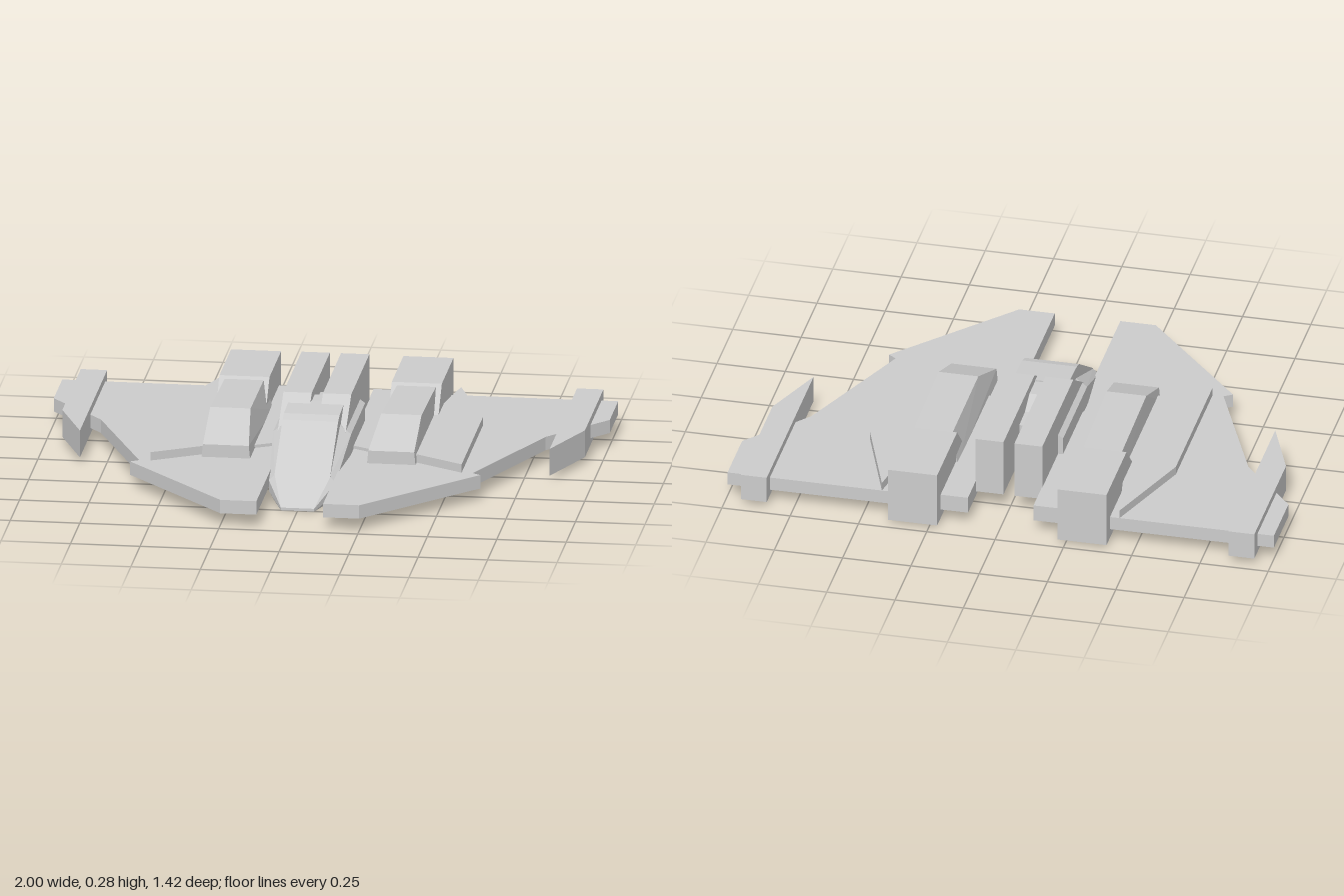
import * as THREE from 'three';
import { ConvexGeometry } from 'three/addons/geometries/ConvexGeometry.js';

const material = new THREE.MeshStandardMaterial({ color: 0xcccccc, flatShading: true });

export function createModel() {
  const model = new THREE.Group();

  function add(name, geometry) {
    const mesh = new THREE.Mesh(geometry, material);
    mesh.name = name;
    model.add(mesh);
  }

  // Flat plate: outline in [x, z], from height y0 to y1
  function plate(name, outline, y0, y1, side) {
    const shape = new THREE.Shape(outline.map(([x, z]) => new THREE.Vector2(x * side, -z)));
    const geometry = new THREE.ExtrudeGeometry(shape, { depth: y1 - y0, bevelEnabled: false });
    geometry.rotateX(-Math.PI / 2).translate(0, y0, 0);
    add(name, geometry);
  }

  // Side profile in [z, y], stretched between x0 and x1
  function slab(name, profile, x0, x1) {
    const shape = new THREE.Shape(profile.map(([z, y]) => new THREE.Vector2(-z, y)));
    const geometry = new THREE.ExtrudeGeometry(shape, { depth: Math.abs(x1 - x0), bevelEnabled: false });
    geometry.rotateY(Math.PI / 2).translate(Math.min(x0, x1), 0, 0);
    add(name, geometry);
  }

  // Faceted convex solid from corner points
  function solid(name, points, side = 1) {
    add(name, new ConvexGeometry(points.map(([x, y, z]) => new THREE.Vector3(x * side, y, z))));
  }

  // Hull with nose: half sections mirrored about the centre
  const hullHalf = [
    [0.06, 0, 0.5], [0.06, 0.01, 0.5],
    [0.10, 0, 0.38], [0.12, 0.03, 0.37], [0.12, 0.07, 0.37], [0.10, 0.09, 0.365],
    [0.11, 0.03, 0.15], [0.14, 0.06, 0.12], [0.14, 0.17, 0.1], [0.10, 0.2, 0.1],
    [0.11, 0.03, -0.28], [0.14, 0.06, -0.28], [0.14, 0.17, -0.28], [0.10, 0.2, -0.28],
  ];
  solid('hull', hullHalf.flatMap(([x, y, z]) => [[x, y, z], [-x, y, z]]));

  // Canopy and the stepped spine behind it
  slab('canopy', [[0.37, 0.09], [0.15, 0.23], [0.11, 0.242], [-0.03, 0.25], [-0.03, 0.09]], -0.1, 0.1);
  slab('spine', [[0, 0.1], [0, 0.245], [-0.12, 0.245], [-0.19, 0.21], [-0.28, 0.205], [-0.28, 0.1]], -0.022, 0.022);

  for (const side of [1, -1]) {
    // Main wing with forward-pointing blade
    plate('wing', [
      [0.12, 0.71], [0.25, 0.71], [0.63, 0.29], [0.6, 0.27], [0.8, -0.2],
      [0.85, -0.26], [0.85, -0.66], [0.12, -0.66],
    ], 0.045, 0.095, side);
    plate('wingRoot', [[0.12, 0.02], [0.24, 0.085], [0.24, -0.66], [0.12, -0.66]], 0.09, 0.106, side);
    plate('wingArmour', [
      [0.22, 0.075], [0.56, 0.27], [0.56, -0.31], [0.435, -0.66], [0.39, -0.4], [0.22, -0.4],
    ], 0.09, 0.126, side);

    // Wing tip pod and its outer fin
    plate('tipPod', [[0.845, -0.71], [0.94, -0.71], [0.94, -0.21], [0.845, 0.03]], 0.022, 0.122, side);
    plate('tipFin', [[0.93, -0.66], [1, -0.66], [1, -0.43], [0.94, -0.36], [0.93, -0.36]], 0.047, 0.096, side);

    // Nacelle forward section, narrower at the top
    solid('nacelle', [
      [0.21, 0.09, 0.2], [0.385, 0.09, 0.2], [0.215, 0.142, 0.2], [0.38, 0.142, 0.2],
      [0.235, 0.22, 0], [0.38, 0.22, 0],
      [0.21, 0.09, -0.42], [0.385, 0.09, -0.42], [0.24, 0.205, -0.42], [0.38, 0.205, -0.42],
    ], side);

    // Engine block with raked front
    slab('engine', [
      [-0.715, 0.01], [-0.56, 0.01], [-0.48, 0.045], [-0.31, 0.09], [-0.31, 0.126],
      [-0.4, 0.216], [-0.715, 0.216],
    ], side * 0.22, side * 0.4);

    // Dorsal rail
    slab('dorsalRail', [
      [-0.53, 0.06], [0.2, 0.06], [0.2, 0.125], [-0.04, 0.275], [-0.53, 0.275],
    ], side * 0.02, side * 0.122);
  }
  return model;
}
